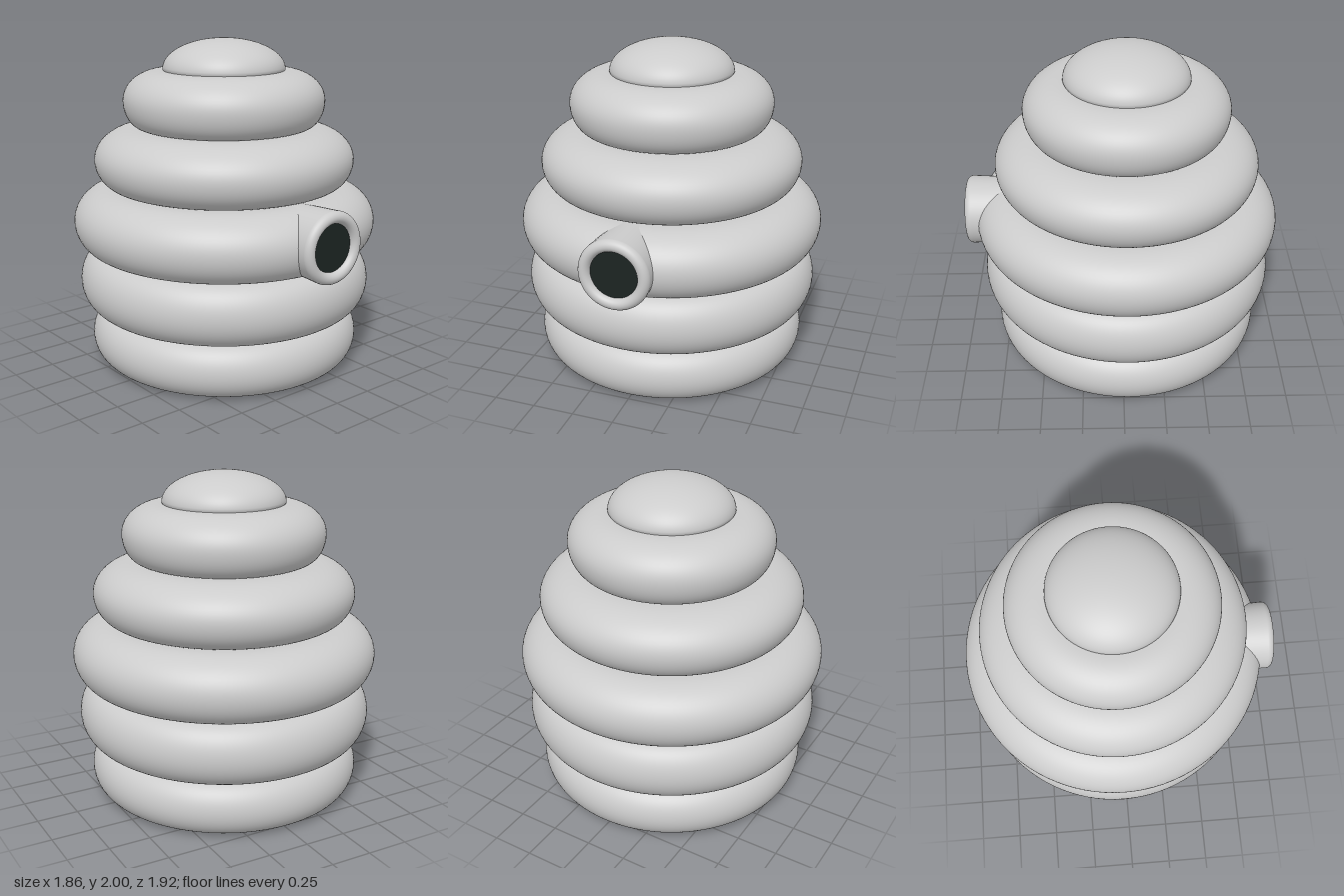
import * as THREE from 'three';

const SEGMENTS = 96;
const AXIS_Z = -0.03;

function lathe(name, points, material, segments = SEGMENTS) {
  const mesh = new THREE.Mesh(new THREE.LatheGeometry(points, segments), material);
  mesh.name = name;
  return mesh;
}

// Quarter-ellipse arc around (cx, cy), from angle a0 to a1
function arc(cx, cy, rx, ry, a0, a1, n = 14) {
  return Array.from({ length: n + 1 }, (_, i) => {
    const a = a0 + ((a1 - a0) * i) / n;
    return new THREE.Vector2(Math.max(0, cx + rx * Math.cos(a)), cy + ry * Math.sin(a));
  });
}

export function createModel() {
  const group = new THREE.Group();
  group.name = 'beehive';
  const grey = new THREE.MeshStandardMaterial({ color: 0xcccccc, side: THREE.DoubleSide });
  const dark = new THREE.MeshStandardMaterial({ color: 0x1c2422 });
  const H = Math.PI / 2;

  // Stacked coils: bottom y, top y, widest y, bottom radius, widest radius, top radius
  const coils = [
    [0.0, 0.33, 0.165, 0.69, 0.835, 0.7],
    [0.33, 0.71, 0.525, 0.73, 0.9, 0.76],
    [0.71, 1.1, 0.9, 0.76, 0.93, 0.7],
    [1.1, 1.465, 1.275, 0.64, 0.797, 0.54],
    [1.465, 1.81, 1.63, 0.5, 0.615, 0.39],
  ];
  coils.forEach(([y0, y1, ym, rb, rm, rt], i) => {
    const profile = [
      new THREE.Vector2(i === 0 ? 0 : rb - 0.2, y0),
      ...arc(rb, ym, rm - rb, ym - y0, -H, 0),
      ...arc(rt, ym, rm - rt, y1 - ym, 0, H).slice(1),
      new THREE.Vector2(rt - 0.1, y1),
    ];
    const coil = lathe(`coil${i + 1}`, profile, grey);
    coil.position.z = AXIS_Z;
    group.add(coil);
  });

  // Flattened cap
  const cap = lathe('cap', [
    new THREE.Vector2(0.36, 1.79),
    ...arc(0, 1.815, 0.373, 0.185, 0, H, 20),
  ], grey);
  cap.position.z = AXIS_Z;
  group.add(cap);

  // Entrance spout with a rounded lip, its axis turned to face forward
  const entrance = new THREE.Group();
  entrance.name = 'entrance';
  entrance.add(lathe('spout', [
    new THREE.Vector2(0.19, 0.5),
    ...arc(0.175, 0.92, 0.037, 0.04, 0, H, 8),
    ...arc(0.175, 0.92, 0.035, 0.04, H, Math.PI, 8).slice(1),
    new THREE.Vector2(0.14, 0.9),
  ], grey, 48));

  // Dark opening set inside the lip
  const opening = new THREE.Mesh(new THREE.CylinderGeometry(0.145, 0.145, 0.04, 48), dark);
  opening.name = 'opening';
  opening.position.y = 0.905;
  entrance.add(opening);
  entrance.rotation.x = H;
  entrance.position.y = 0.908;
  group.add(entrance);

  return group;
}
